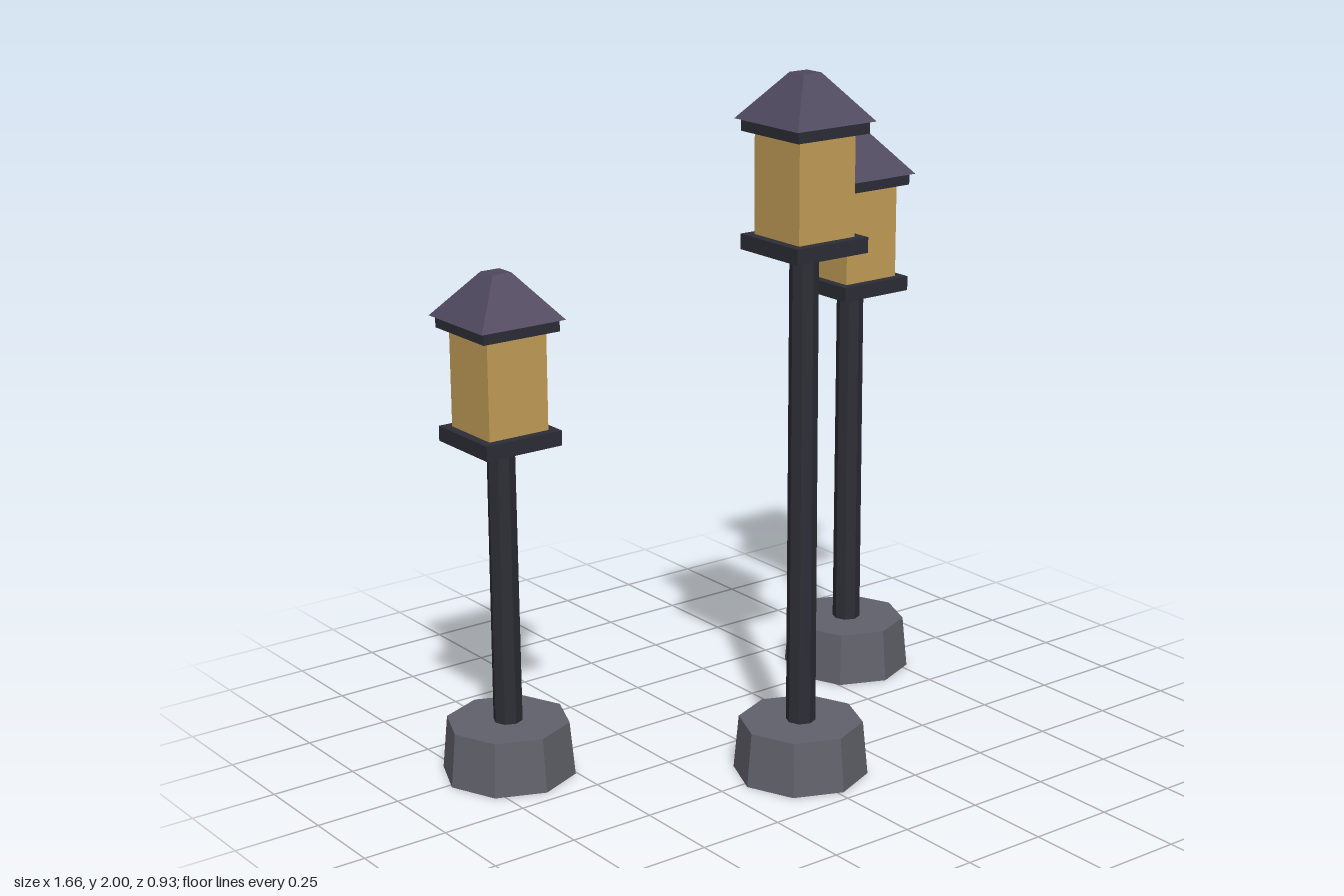
import * as THREE from 'three';

const paint = (name, color) => {
  const m = new THREE.MeshStandardMaterial({ color, flatShading: true });
  m.name = name;
  return m;
};

export function createModel() {
  const stone = paint('stone', 0x62626c);
  const iron = paint('dark iron', 0x2d2d36);
  const glass = paint('amber glass', 0xc49f59);
  const slate = paint('purple slate', 0x50495f);

  // One lamp post; the lantern hangs below the given total height
  function lamp(name, x, z, height) {
    const post = new THREE.Group();
    post.name = name;
    post.position.set(x, 0, z);

    const add = (part, geometry, material, bottom, top) => {
      const mesh = new THREE.Mesh(geometry, material);
      mesh.name = part;
      mesh.position.y = (bottom + top) / 2;
      post.add(mesh);
    };
    const column = (part, material, rTop, rBottom, bottom, top) =>
      add(part, new THREE.CylinderGeometry(rTop, rBottom, top - bottom, 8), material, bottom, top);
    const slab = (part, material, width, bottom, top) =>
      add(part, new THREE.BoxGeometry(width, top - bottom, width), material, bottom, top);

    column('base', stone, 0.177, 0.192, 0, 0.157);
    column('pole', iron, 0.04, 0.042, 0.157, height - 0.483);
    slab('lanternFloor', iron, 0.243, height - 0.483, height - 0.44);
    slab('lanternGlass', glass, 0.19, height - 0.44, height - 0.16);
    slab('lanternRim', iron, 0.243, height - 0.16, height - 0.127);

    // Square roof with a small flat top
    const roof = new THREE.CylinderGeometry(0.03 * Math.SQRT2, 0.134 * Math.SQRT2, 0.127, 4);
    roof.rotateY(Math.PI / 4);
    add('roof', roof, slate, height - 0.127, height);
    return post;
  }

  const group = new THREE.Group();
  group.name = 'lampPosts';
  group.add(
    lamp('shortLamp', -0.641, -0.235, 1.46),
    lamp('tallLamp', 0.016, 0.271, 2),
    lamp('mediumLamp', 0.639, -0.271, 1.693)
  );
  return group;
}
